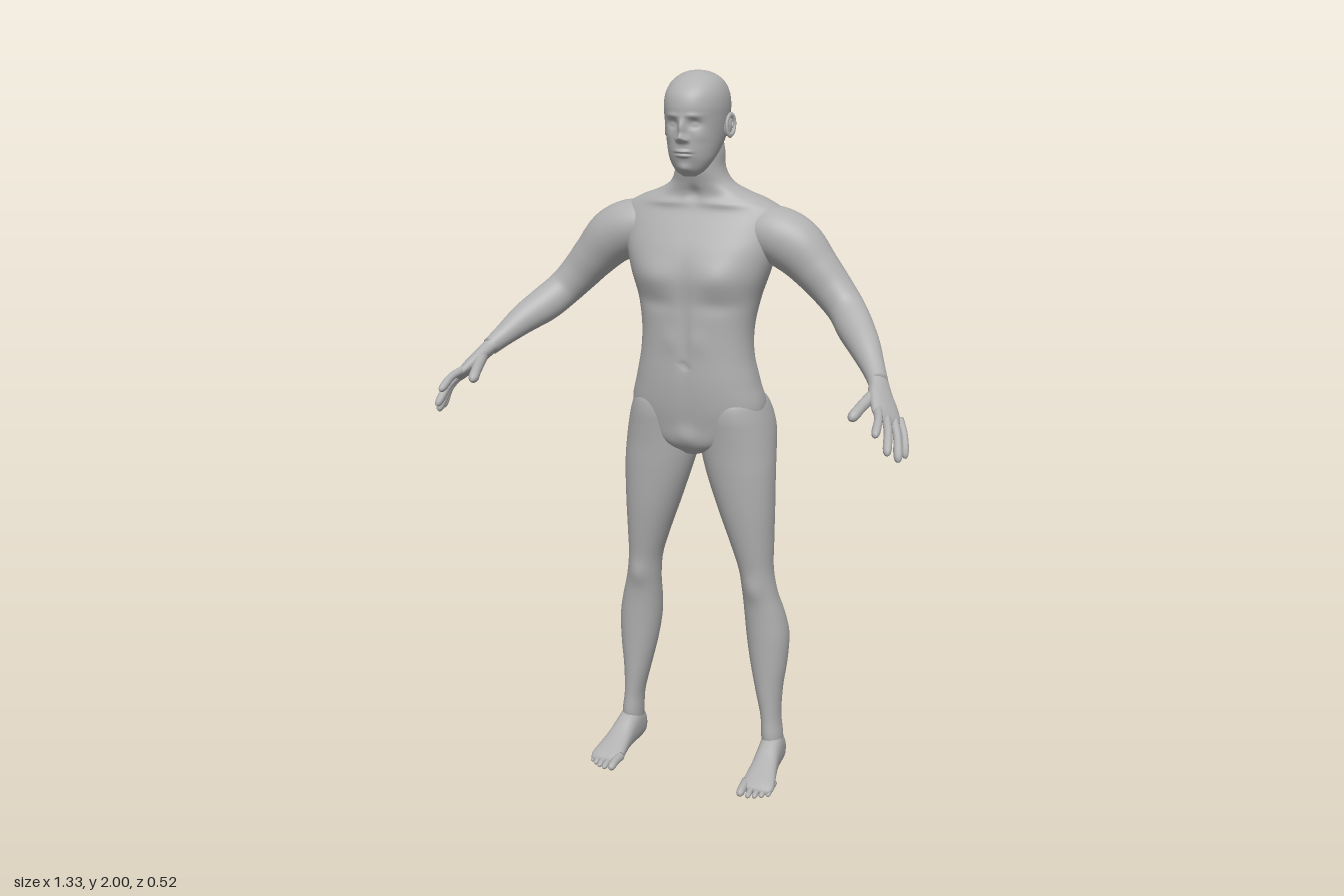
import * as THREE from 'three';

const skin = new THREE.MeshStandardMaterial({ color: 0xb0b0b0 });
skin.name = 'plain grey';

// Smooth loft through rows [x, y, z, halfAcross, halfDeep].
// Rings face the path, or a fixed axis; bumps [x, y, rx, ry, push, face] add relief in z.
function loft(rows, { across, axis, n = 2, segs = 32, steps = 40, bumps = [] }) {
  const times = [0];
  for (let i = 1; i < rows.length; i++) {
    times.push(times[i - 1] + Math.hypot(...rows[i].map((v, k) => v - rows[i - 1][k])));
  }
  const curve = new THREE.CubicInterpolant(times, rows.flat(), 5);
  const end = times[times.length - 1];
  const at = t => [...curve.evaluate(THREE.MathUtils.clamp(t, 0, end))];
  const pos = [], index = [];
  const power = v => Math.sign(v) * Math.abs(v) ** (2 / n);
  for (let i = 0; i <= steps; i++) {
    const t = end * i / steps, r = at(t);
    const c = new THREE.Vector3(...r);
    const T = axis ? axis.clone() : new THREE.Vector3(...at(t + end * 0.01)).sub(new THREE.Vector3(...at(t - end * 0.01))).normalize();
    const S = across.clone().addScaledVector(T, -across.dot(T)).normalize();
    const U = T.clone().cross(S);
    for (let j = 0; j < segs; j++) {
      const q = j / segs * Math.PI * 2;
      const p = c.clone().addScaledVector(S, power(Math.cos(q)) * Math.max(r[3], 0))
        .addScaledVector(U, power(Math.sin(q)) * Math.max(r[4], 0));
      const facing = r[4] > 0.001 ? (p.z - c.z) / r[4] : 0;
      let dz = 0;
      for (const [bx, by, rx, ry, push, face] of bumps) {
        const w = THREE.MathUtils.smoothstep(facing * face, 0, 0.5);
        dz += face * push * w * Math.exp(-(((Math.abs(p.x) - bx) / rx) ** 2) - ((p.y - by) / ry) ** 2);
      }
      p.z += dz;
      pos.push(p.x, p.y, p.z);
      if (i < steps) {
        const a = i * segs + j, b = i * segs + (j + 1) % segs;
        index.push(a, b, a + segs, b, b + segs, a + segs);
      }
    }
  }
  // End caps
  const first = pos.length / 3, last = steps * segs;
  pos.push(...rows[0].slice(0, 3), ...rows[rows.length - 1].slice(0, 3));
  for (let j = 0; j < segs; j++) {
    const k = (j + 1) % segs;
    index.push(first, k, j, first + 1, last + j, last + k);
  }
  const geo = new THREE.BufferGeometry();
  geo.setAttribute('position', new THREE.Float32BufferAttribute(pos, 3));
  geo.setIndex(index);
  geo.computeVertexNormals();
  return geo;
}

const X = new THREE.Vector3(1, 0, 0), Y = new THREE.Vector3(0, 1, 0), Z = new THREE.Vector3(0, 0, 1);
// Upright loft from rows [y, xInner, xOuter, zFront, zBack]
const upright = (rows, options) => loft(
  rows.map(([y, x0, x1, zf, zb]) => [(x0 + x1) / 2, y, (zf + zb) / 2, (x1 - x0) / 2, (zf - zb) / 2]),
  { across: X, axis: Y, ...options });
const centred = (rows, options) => upright(rows.map(([y, w, zf, zb]) => [y, -w, w, zf, zb]), options);

// Rounded finger or toe through points, tapering from radius r
function digit(points, r, across) {
  const k = points.length - 1;
  const rows = points.map((p, i) => [...p, r * (1 - 0.25 * i / k), r * (1 - 0.25 * i / k)]);
  const tip = rows[k], d = points[k].map((v, i) => v - points[k - 1][i]), len = Math.hypot(...d);
  for (const [s, f] of [[0.45, 0.6], [0.62, 0]]) {
    rows.push([...points[k].map((v, i) => v + d[i] / len * r * s), tip[3] * f, tip[4] * f]);
  }
  return loft(rows, { across, segs: 12, steps: 18 });
}

function mirror(geo) {
  const g = geo.clone().scale(-1, 1, 1);
  g.index.array.reverse();
  g.computeVertexNormals();
  return g;
}

export function createModel() {
  const model = new THREE.Group();
  model.name = 'standing figure';
  const add = (name, geo) => {
    const mesh = new THREE.Mesh(geo, skin);
    mesh.name = name;
    model.add(mesh);
  };
  const pair = (name, geo) => {
    add('left ' + name, geo);
    add('right ' + name, mirror(geo));
  };

  // Torso and neck
  add('torso', centred([
    [0.965, 0.03, -0.05, -0.14], [1.0, 0.12, -0.026, -0.18], [1.05, 0.18, -0.017, -0.215],
    [1.1, 0.193, -0.008, -0.228], [1.17, 0.177, -0.001, -0.218], [1.25, 0.16, 0, -0.207],
    [1.32, 0.158, 0, -0.216], [1.4, 0.172, 0, -0.236], [1.47, 0.195, 0.001, -0.246],
    [1.53, 0.212, -0.012, -0.249], [1.59, 0.224, -0.04, -0.247], [1.635, 0.225, -0.064, -0.238],
    [1.665, 0.18, -0.072, -0.228], [1.685, 0.127, -0.072, -0.219], [1.71, 0.084, -0.064, -0.206],
    [1.745, 0.066, -0.054, -0.193], [1.79, 0.063, -0.055, -0.19], [1.83, 0.055, -0.08, -0.18],
  ], {
    n: 2.3, segs: 96, steps: 110, bumps: [
      [0.09, 1.465, 0.06, 0.045, 0.012, 1], [0.09, 1.39, 0.06, 0.02, -0.004, 1], // chest
      [0, 1.32, 0.012, 0.14, -0.006, 1], [0, 1.225, 0.008, 0.008, -0.007, 1], // midline, navel
      [0.04, 1.29, 0.025, 0.03, 0.003, 1], [0, 1.02, 0.03, 0.03, 0.008, 1], // belly, groin
      [0.08, 1.655, 0.06, 0.01, 0.006, 1], [0, 1.68, 0.014, 0.02, -0.008, 1], // collarbones
      [0, 1.38, 0.018, 0.22, -0.014, -1], [0.11, 1.53, 0.05, 0.06, 0.008, -1], // spine, shoulder blades
      [0, 1.09, 0.014, 0.07, -0.014, -1],
    ],
  }));

  // Head with modelled face
  add('head', centred([
    [1.73, 0.018, -0.028, -0.06], [1.742, 0.036, -0.014, -0.08], [1.77, 0.056, 0, -0.12],
    [1.8, 0.067, 0.008, -0.165], [1.84, 0.076, 0.009, -0.198], [1.88, 0.081, 0.012, -0.21],
    [1.91, 0.083, 0.014, -0.213], [1.94, 0.08, 0.006, -0.206], [1.97, 0.067, -0.02, -0.183],
    [1.988, 0.046, -0.048, -0.155], [1.997, 0.024, -0.073, -0.127], [2.0, 0, -0.1, -0.1],
  ], {
    n: 2.1, segs: 128, steps: 120, bumps: [
      [0, 1.856, 0.009, 0.022, 0.016, 1], [0, 1.832, 0.011, 0.01, 0.019, 1], [0.012, 1.827, 0.006, 0.006, 0.009, 1], // nose
      [0.031, 1.867, 0.016, 0.011, -0.012, 1], [0.031, 1.866, 0.01, 0.006, 0.006, 1], [0.028, 1.888, 0.02, 0.006, 0.004, 1], // eyes, brows
      [0, 1.797, 0.018, 0.004, 0.008, 1], [0, 1.786, 0.015, 0.004, 0.008, 1], [0, 1.791, 0.02, 0.002, -0.004, 1], // lips
      [0, 1.752, 0.018, 0.012, 0.007, 1], [0.045, 1.835, 0.016, 0.014, 0.003, 1], // chin, cheeks
    ],
  }));

  // Ears
  pair('ear', new THREE.SphereGeometry(1, 20, 14).scale(0.008, 0.026, 0.015).rotateX(-0.2).rotateY(-0.35).translate(0.084, 1.857, -0.105));
  pair('ear rim', new THREE.TorusGeometry(0.016, 0.0045, 8, 28).scale(1, 1.65, 1)
    .rotateY(Math.PI / 2 - 0.35).rotateX(-0.2).translate(0.09, 1.86, -0.107));

  // Legs, carrying the buttocks, knees and calves
  pair('leg', upright([
    [1.15, 0.045, 0.15, -0.06, -0.18], [1.12, 0.016, 0.186, -0.025, -0.235], [1.08, 0.005, 0.202, -0.02, -0.258],
    [1.04, 0.003, 0.212, -0.024, -0.26], [0.98, 0.007, 0.219, -0.03, -0.236], [0.92, 0.022, 0.222, -0.034, -0.214],
    [0.8, 0.062, 0.222, -0.045, -0.203], [0.7, 0.098, 0.22, -0.06, -0.195], [0.62, 0.123, 0.22, -0.074, -0.187],
    [0.55, 0.131, 0.231, -0.085, -0.191], [0.48, 0.134, 0.25, -0.092, -0.212], [0.42, 0.138, 0.261, -0.095, -0.223],
    [0.34, 0.15, 0.259, -0.098, -0.215], [0.25, 0.17, 0.249, -0.101, -0.198], [0.16, 0.19, 0.247, -0.104, -0.187],
    [0.1, 0.193, 0.254, -0.102, -0.188], [0.05, 0.198, 0.25, -0.115, -0.195],
  ].reverse(), {
    n: 2.1, segs: 48, steps: 90, bumps: [
      [0.176, 0.57, 0.028, 0.035, 0.008, 1], [0.178, 0.6, 0.02, 0.05, -0.004, -1], // kneecap, knee hollow
      [0.2, 0.44, 0.008, 0.06, -0.004, -1],
    ],
  }));

  // Feet: rows [z, x, half width, bottom, top]
  pair('foot', loft([
    [-0.205, 0.225, 0.012, 0.015, 0.045], [-0.197, 0.225, 0.023, 0.004, 0.07], [-0.175, 0.225, 0.031, 0, 0.1],
    [-0.14, 0.226, 0.034, 0, 0.115], [-0.1, 0.228, 0.035, 0.002, 0.1], [-0.05, 0.232, 0.039, 0.004, 0.071],
    [0, 0.236, 0.046, 0.001, 0.047], [0.025, 0.238, 0.047, 0.001, 0.035], [0.043, 0.236, 0.04, 0.006, 0.024],
  ].map(([z, x, w, lo, hi]) => [x, (lo + hi) / 2, z, w, (hi - lo) / 2]), { across: X, axis: Z, n: 2.4, segs: 36 }));
  [[0.201, 0.07, 0.014], [0.224, 0.069, 0.0095], [0.242, 0.063, 0.009], [0.259, 0.053, 0.009], [0.275, 0.04, 0.009]]
    .forEach(([x, z, r], i) => pair('toe ' + (i + 1),
      digit([[x - 0.002, r + 0.007, z - 0.06], [x, r + 0.006, z - 0.025], [x, r, z]], r, X)));

  // Arms from the collar to the wrist
  pair('arm', loft([
    [0.1, 1.58, -0.147, 0.055, 0.05], [0.16, 1.582, -0.146, 0.072, 0.068], [0.215, 1.572, -0.144, 0.079, 0.077],
    [0.265, 1.546, -0.142, 0.075, 0.077], [0.325, 1.488, -0.14, 0.061, 0.064], [0.372, 1.437, -0.137, 0.053, 0.056],
    [0.414, 1.392, -0.122, 0.048, 0.051], [0.452, 1.353, -0.08, 0.045, 0.05], [0.495, 1.315, -0.025, 0.039, 0.042],
    [0.535, 1.272, 0.03, 0.03, 0.03], [0.558, 1.246, 0.065, 0.028, 0.024],
  ], { across: Z, segs: 40, steps: 70 }));

  // Hands
  const spread = new THREE.Vector3(0.54, -0.4, -0.74);
  pair('palm', loft([
    [0.54, 1.267, 0.038, 0.026, 0.024], [0.56, 1.243, 0.07, 0.029, 0.021], [0.577, 1.218, 0.105, 0.039, 0.02],
    [0.596, 1.193, 0.135, 0.045, 0.017], [0.607, 1.178, 0.155, 0.043, 0.012], [0.613, 1.17, 0.164, 0.028, 0.004],
  ], { across: spread, n: 2.3, segs: 32 }));
  const tips = [[0.604, 1.163, 0.255], [0.63, 1.115, 0.235], [0.649, 1.09, 0.198], [0.657, 1.09, 0.16]];
  tips.forEach((tip, i) => {
    const base = new THREE.Vector3(0.583, 1.202, 0.16).lerp(new THREE.Vector3(0.628, 1.17, 0.112), i / 3);
    const middle = base.clone().lerp(new THREE.Vector3(...tip), 0.5).add(new THREE.Vector3(0.005, 0.006, 0.002));
    pair('finger ' + (i + 1), digit([base.toArray(), middle.toArray(), tip], i === 3 ? 0.0105 : 0.012, spread));
  });
  pair('thumb', digit([[0.566, 1.235, 0.085], [0.552, 1.218, 0.135], [0.541, 1.203, 0.175], [0.532, 1.188, 0.208]], 0.017, Y));
  return model;
}
